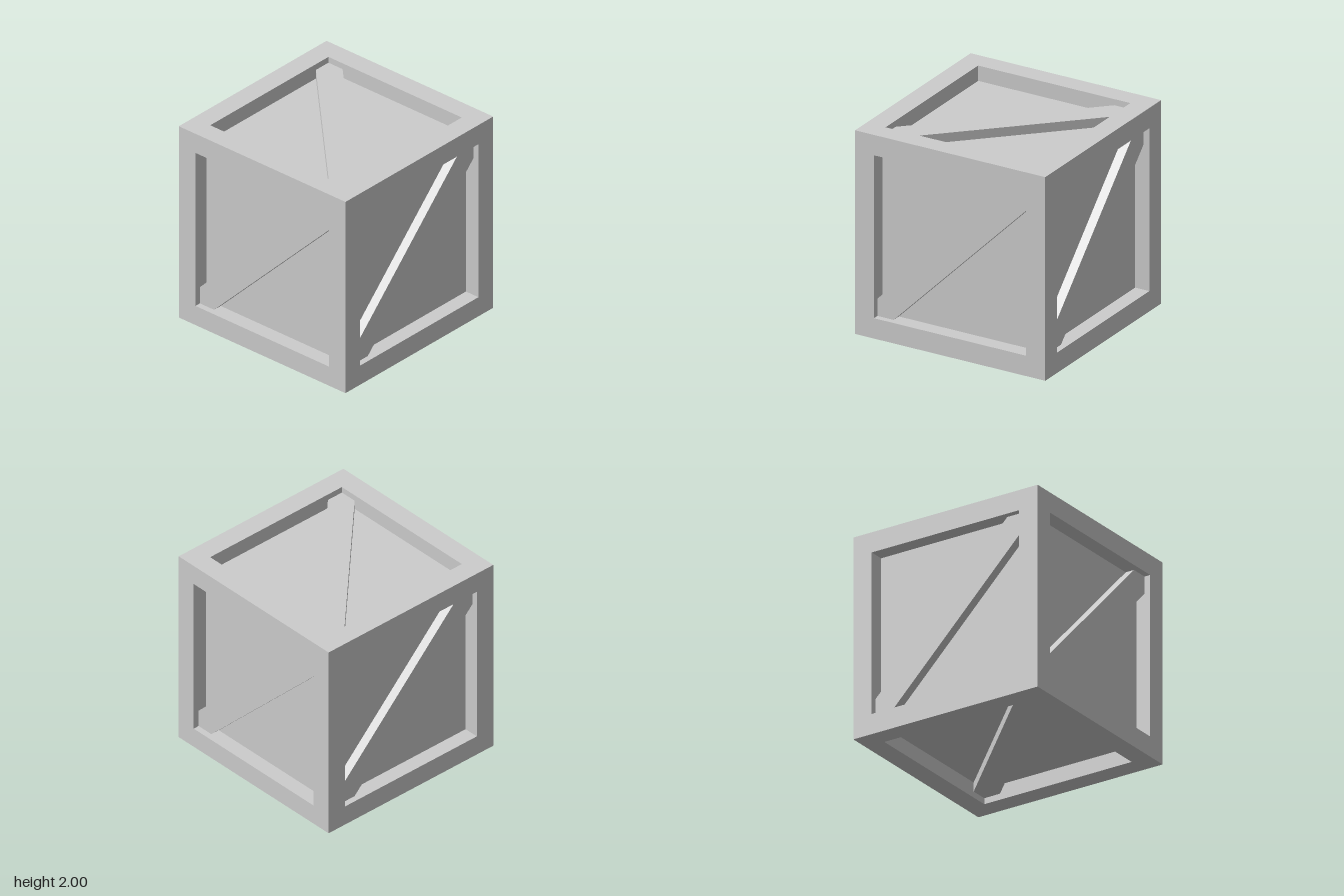
import * as THREE from 'three';

const SIZE = 2, BEAM = 0.2, INNER = SIZE - 2 * BEAM;
const PANEL_INSET = 0.15, BRACE_INSET = 0.06;

export function createModel() {
  const crate = new THREE.Group();
  crate.name = 'crate';
  const grey = new THREE.MeshStandardMaterial({ color: 0xcccccc });
  grey.name = 'grey';

  const body = new THREE.Group();
  body.name = 'body';
  body.position.y = SIZE / 2;
  crate.add(body);

  const add = (name, geometry) => {
    const mesh = new THREE.Mesh(geometry, grey);
    mesh.name = name;
    body.add(mesh);
    return mesh;
  };

  // Recessed panels on all six sides
  const core = SIZE - 2 * PANEL_INSET;
  add('panels', new THREE.BoxGeometry(core, core, core));

  // Twelve frame beams: full-height posts with rails between them
  const post = new THREE.BoxGeometry(BEAM, SIZE, BEAM);
  const railX = new THREE.BoxGeometry(INNER, BEAM, BEAM);
  const railZ = new THREE.BoxGeometry(BEAM, BEAM, INNER);
  const c = (SIZE - BEAM) / 2;
  for (const a of [-c, c]) {
    for (const b of [-c, c]) {
      add('post', post).position.set(a, 0, b);
      add('widthRail', railX).position.set(0, a, b);
      add('depthRail', railZ).position.set(a, b, 0);
    }
  }

  // Diagonal brace with its ends cut to fit the frame corners
  const h = INNER / 2, k = 0.63;
  const outline = new THREE.Shape([
    [-h, -h], [-k, -h], [h, k], [h, h], [k, h], [-h, -k],
  ].map(([x, y]) => new THREE.Vector2(x, y)));
  const brace = new THREE.ExtrudeGeometry(outline, {
    depth: PANEL_INSET - BRACE_INSET, bevelEnabled: false,
  });
  brace.translate(0, 0, core / 2);

  // One brace per side
  const q = Math.PI / 2;
  const sides = {
    front: [0, 0], right: [0, q], back: [0, 2 * q], left: [0, -q],
    top: [-q, 0], bottom: [q, 0],
  };
  for (const [side, [rx, ry]] of Object.entries(sides)) {
    add(side + 'Brace', brace).rotation.set(rx, ry, 0);
  }
  return crate;
}
